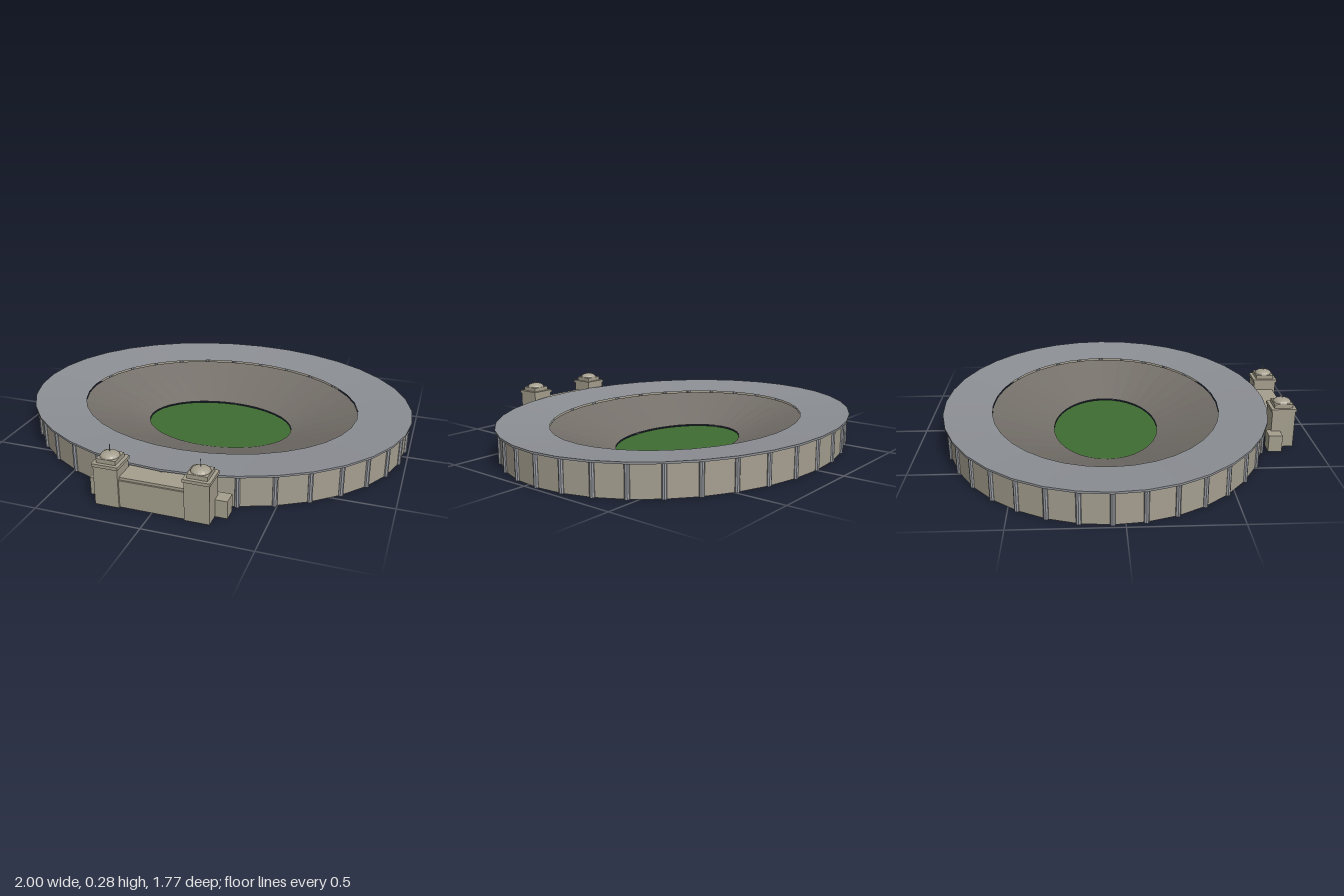
import * as THREE from 'three';

const SIDES = 36;
const CENTRE_Z = -0.055;

const paint = (color) => new THREE.MeshStandardMaterial({ color, side: THREE.DoubleSide, flatShading: true });
const stone = paint(0xa59f8e);
const wallStone = paint(0xa59f90);
const concrete = paint(0x75706a);
const roofGrey = paint(0x8c8f94);
const steel = paint(0x9a9da3);
const grass = paint(0x3f6d33);

function add(parent, name, geometry, material, x = 0, y = 0, z = 0) {
  const mesh = new THREE.Mesh(geometry, material);
  mesh.name = name;
  mesh.position.set(x, y, z);
  parent.add(mesh);
  return mesh;
}

// Skin through a list of elliptical rings [radiusX, radiusZ, y]
function loft(rings) {
  const pos = [], index = [];
  for (const [rx, rz, y] of rings) {
    for (let i = 0; i < SIDES; i++) {
      const a = (i / SIDES) * Math.PI * 2;
      pos.push(rx * Math.sin(a), y, rz * Math.cos(a));
    }
  }
  for (let r = 0; r < rings.length - 1; r++) {
    for (let i = 0; i < SIDES; i++) {
      const j = (i + 1) % SIDES;
      const a = r * SIDES + i, b = r * SIDES + j, c = a + SIDES, d = b + SIDES;
      index.push(a, b, d, a, d, c);
    }
  }
  const g = new THREE.BufferGeometry();
  g.setAttribute('position', new THREE.Float32BufferAttribute(pos, 3));
  g.setIndex(index);
  g.computeVertexNormals();
  return g;
}

// Box standing on height y
function block(parent, name, w, h, d, x, y, z) {
  return add(parent, name, new THREE.BoxGeometry(w, h, d), stone, x, y + h / 2, z);
}

function makeTower(side) {
  const tower = new THREE.Group();
  tower.name = side > 0 ? 'leftGateTower' : 'rightGateTower';
  block(tower, 'towerShaft', 0.115, 0.19, 0.115, 0, 0, 0);
  block(tower, 'towerCornice', 0.125, 0.015, 0.125, 0, 0.188, 0);
  block(tower, 'towerAttic', 0.092, 0.02, 0.092, 0, 0.203, 0);
  const dome = new THREE.SphereGeometry(0.045, 16, 6, 0, Math.PI * 2, 0, Math.PI / 2);
  add(tower, 'towerDome', dome, stone, 0, 0.222, 0).scale.y = 0.48;
  add(tower, 'towerSpike', new THREE.CylinderGeometry(0.002, 0.002, 0.04, 6), steel, 0, 0.258, 0);
  tower.position.set(side * 0.21, 0, 0.824);
  return tower;
}

export function createModel() {
  const model = new THREE.Group();
  model.name = 'stadium';

  const arena = new THREE.Group();
  arena.name = 'arena';
  arena.position.z = CENTRE_Z;
  model.add(arena);

  // Outer wall, inward-sloping roof with a rim, seating bowl and field
  add(arena, 'outerWall', loft([[0.978, 0.808, 0], [0.978, 0.808, 0.156]]), wallStone);
  add(arena, 'roof', loft([
    [0.978, 0.808, 0.155], [1, 0.83, 0.155], [1, 0.83, 0.165], [0.73, 0.587, 0.141],
  ]), roofGrey);
  add(arena, 'seatingBowl', loft([[0.39, 0.272, 0.01], [0.73, 0.587, 0.133]]), concrete);
  const field = new THREE.CircleGeometry(1, SIDES).rotateX(-Math.PI / 2).scale(0.39, 1, 0.272);
  add(arena, 'field', field, grass, 0, 0.003, 0);

  // A column at every corner of the wall
  const columnGeometry = new THREE.CylinderGeometry(0.012, 0.012, 0.155, 8);
  for (let i = 0; i < SIDES; i++) {
    const a = (i / SIDES) * Math.PI * 2;
    add(arena, 'wallColumn', columnGeometry, steel, 0.978 * Math.sin(a), 0.0775, 0.808 * Math.cos(a));
  }

  // Entrance gate: two domed towers, a wall between them and low side wings
  const gate = new THREE.Group();
  gate.name = 'gate';
  model.add(gate);
  block(gate, 'gateWall', 0.32, 0.133, 0.105, 0, 0, 0.82);
  block(gate, 'gateCoping', 0.31, 0.013, 0.115, 0, 0.133, 0.808);
  for (const side of [-1, 1]) {
    gate.add(makeTower(side));
    block(gate, 'gateWing', 0.075, 0.085, 0.068, side * 0.287, 0, 0.778);
  }
  return model;
}
